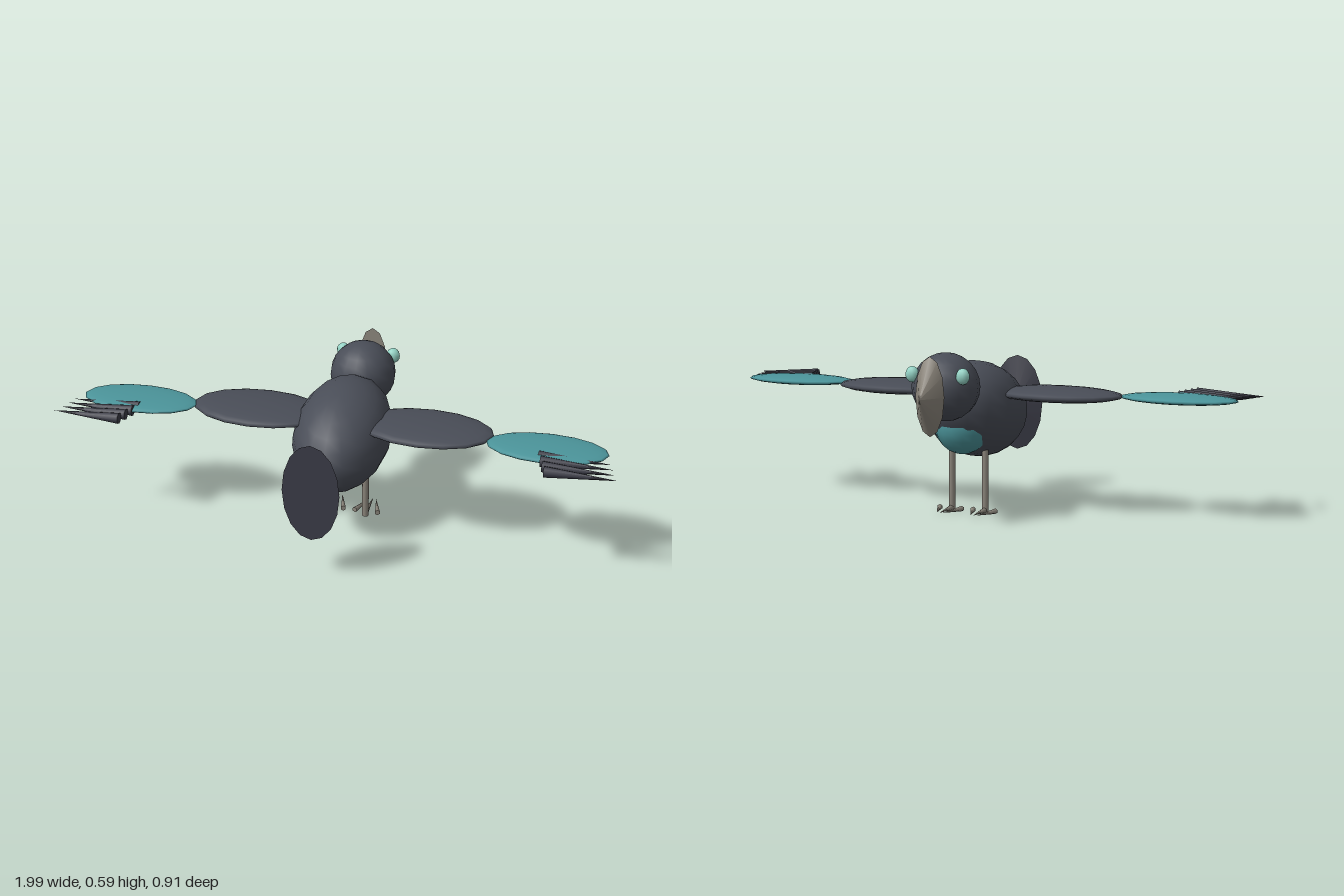
import * as THREE from 'three';

const mat = (name, color) => Object.assign(new THREE.MeshStandardMaterial({ color }), { name });

export function createModel() {
  const bird = new THREE.Group();
  bird.name = 'bird';

  const slate = mat('slate plumage', 0x494d57);
  const dark = mat('dark feathers', 0x3a3b46);
  const teal = mat('teal plumage', 0x4b949a);
  const mint = mat('mint eyes', 0x93d2c4);
  const horn = mat('horn grey', 0x8b857b);

  function add(name, geometry, material, position, parent = bird) {
    const mesh = new THREE.Mesh(geometry, material);
    mesh.name = name;
    mesh.position.set(...position);
    parent.add(mesh);
    return mesh;
  }

  // Ellipsoid from its three half sizes
  function ellipsoid(name, material, position, radii, w = 16, h = 12) {
    return add(name, new THREE.SphereGeometry(1, w, h).scale(...radii), material, position);
  }

  // Cone along z: a negative sign points the tip to -z
  function coneZ(rx, ry, length, sides) {
    return new THREE.ConeGeometry(1, length, sides).rotateX(-Math.PI / 2).scale(rx, ry, 1);
  }

  // Body, breast patch and head
  ellipsoid('body', slate, [0, 0.36, 0.05], [0.17, 0.17, 0.257]).rotation.x = 0.24;
  ellipsoid('breastPatch', teal, [0, 0.32, -0.075], [0.1, 0.105, 0.105]);
  ellipsoid('head', slate, [0, 0.47, -0.226], [0.118, 0.118, 0.118]);

  // Beak and tail fan, both flattened cones
  add('beak', coneZ(0.053, 0.136, 0.09, 12), horn, [0, 0.451, -0.407]);
  add('tailFan', coneZ(0.1, 0.178, 0.036, 16), dark, [0, 0.332, 0.437]);

  for (const s of [1, -1]) {
    const side = s > 0 ? 'left' : 'right';

    ellipsoid(side + 'Eye', mint, [s * 0.093, 0.517, -0.298], [0.025, 0.028, 0.021], 10, 8);

    // Wing in two flat sections
    ellipsoid(side + 'InnerWing', slate, [s * 0.3, 0.425, 0.064], [0.24, 0.026, 0.142]);
    ellipsoid(side + 'OuterWing', teal, [s * 0.73, 0.425, 0.103], [0.21, 0.017, 0.107]);

    // Row of pointed flight feathers at the trailing edge
    for (let i = 0; i < 4; i++) {
      const geometry = new THREE.ConeGeometry(0.02, 0.245, 8).rotateZ(-s * Math.PI / 2);
      add(side + 'FlightFeather' + (i + 1), geometry, dark,
        [s * (0.834 + i * 0.012), 0.425, 0.165 + i * 0.0355]);
    }

    // Leg with three toes
    const leg = new THREE.Group();
    leg.name = side + 'Leg';
    leg.position.set(s * 0.064, 0, -0.023);
    bird.add(leg);
    add('shank', new THREE.CylinderGeometry(0.0125, 0.0125, 0.24, 8), horn, [0, 0.12, 0], leg);
    for (const t of [-1, 0, 1]) {
      const toe = add('toe', coneZ(0.01, 0.01, 0.106, 6), horn, [t * 0.027, 0.01, -0.061], leg);
      toe.rotation.y = t * 0.3;
    }
  }

  return bird;
}
